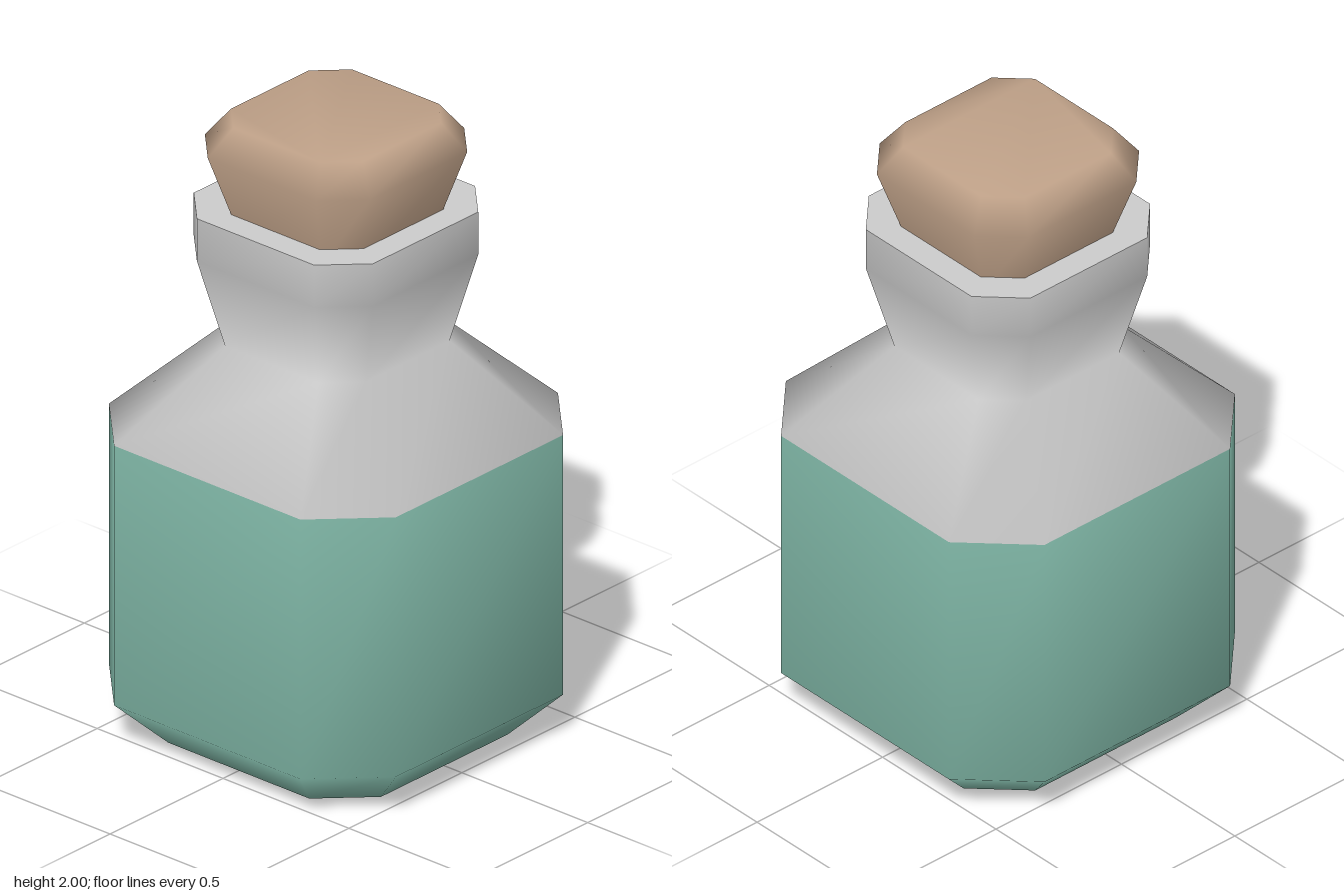
import * as THREE from 'three';

// Square outline with cut corners: h = half width, f = half length of the flat side
function ring([y, h, f]) {
  return [[f, h], [h, f], [h, -f], [f, -h], [-f, -h], [-h, -f], [-h, f], [-f, h]]
    .map(([x, z]) => [x, y, z]);
}

// Smooth skin through rings; slots gives the material of each band.
// A cap is 'smooth' (shares the rim vertices) or 'sharp' (has its own).
function loft(rings, slots, topCap, topSlot, bottomCap, bottomSlot) {
  const pos = rings.flatMap(ring);
  const index = [];
  const geo = new THREE.BufferGeometry();
  slots.forEach((slot, k) => {
    geo.addGroup(index.length, 48, slot);
    for (let i = 0; i < 8; i++) {
      const a = k * 8 + i, b = k * 8 + (i + 1) % 8;
      index.push(a, b, b + 8, a, b + 8, a + 8);
    }
  });
  const cap = (k, kind, slot, up) => {
    let s = k * 8;
    if (kind === 'sharp') {
      s = pos.length;
      pos.push(...ring(rings[k]));
    }
    geo.addGroup(index.length, 18, slot);
    for (let i = 1; i < 7; i++) {
      if (up) index.push(s, s + i, s + i + 1);
      else index.push(s, s + i + 1, s + i);
    }
  };
  cap(rings.length - 1, topCap, topSlot, true);
  cap(0, bottomCap, bottomSlot, false);
  geo.setAttribute('position', new THREE.Float32BufferAttribute(pos.flat(), 3));
  geo.setIndex(index);
  geo.computeVertexNormals();
  return geo;
}

export function createModel() {
  const make = (name, color) => {
    const m = new THREE.MeshStandardMaterial({ color });
    m.name = name;
    return m;
  };
  const glass = make('glass', 0xcccccc);
  const liquid = make('liquid', 0x7db3a3);
  const corkBrown = make('cork brown', 0xbfa188);

  const group = new THREE.Group();
  group.name = 'corkedBottle';

  // Bottle: filled body, shoulder, neck and flared lip
  const bottle = new THREE.Mesh(loft([
    [0, 0.43, 0.28],
    [0.145, 0.57, 0.37],
    [1.0, 0.57, 0.37],
    [1.285, 0.285, 0.185],
    [1.575, 0.356, 0.233],
    [1.715, 0.356, 0.233],
  ], [1, 1, 0, 0, 0], 'sharp', 0, 'sharp', 1), [glass, liquid]);
  bottle.name = 'bottle';
  group.add(bottle);

  // Cork: flared plug with a bevelled top
  const cork = new THREE.Mesh(loft([
    [1.65, 0.248, 0.163],
    [1.91, 0.328, 0.215],
    [2.0, 0.263, 0.172],
  ], [0, 0], 'smooth', 0, 'sharp', 0), [corkBrown]);
  cork.name = 'cork';
  group.add(cork);

  return group;
}
